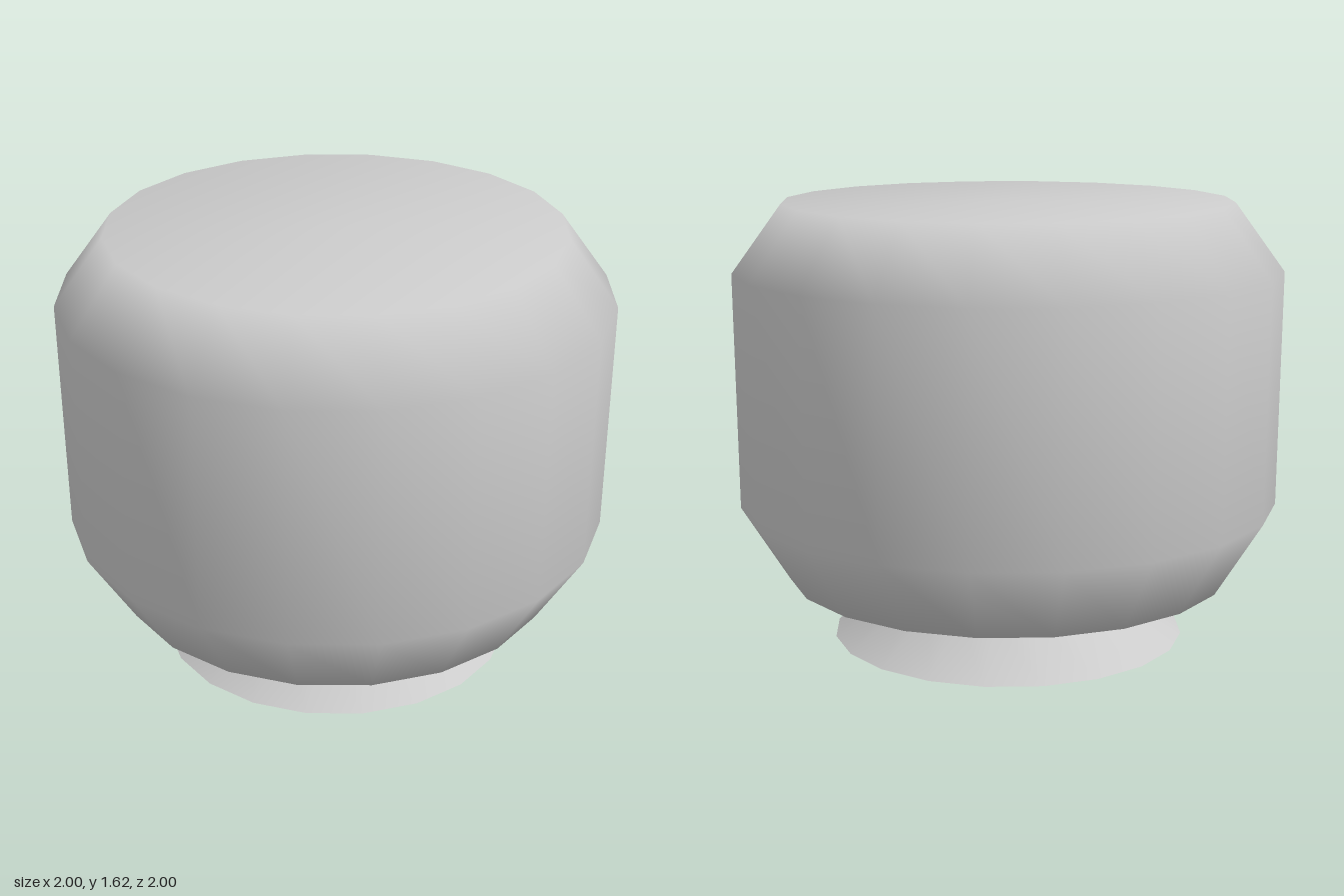
import * as THREE from 'three';

const SIDES = 20;

// Revolve a profile of [radius, height] pairs, listed from the inside bottom upward
function turned(name, profile, material) {
  const points = profile.map(([r, y]) => new THREE.Vector2(r, y));
  const mesh = new THREE.Mesh(new THREE.LatheGeometry(points, SIDES), material);
  mesh.name = name;
  return mesh;
}

export function createModel() {
  const group = new THREE.Group();
  group.name = 'knob';
  const material = new THREE.MeshStandardMaterial({ color: 0xcccccc });

  // Flared foot, hollow underneath, with a thin rim and a short neck
  group.add(turned('foot', [
    [0, 0.17], [0.37, 0.17], [0.63, 0], [0.655, 0.005], [0.41, 0.175], [0.41, 0.24],
  ], material));

  // Drum body with chamfered lower and upper edges and a flat top
  group.add(turned('body', [
    [0.41, 0.24], [0.82, 0.24], [0.993, 0.52], [1, 1.38], [0.82, 1.625], [0, 1.625],
  ], material));

  return group;
}
